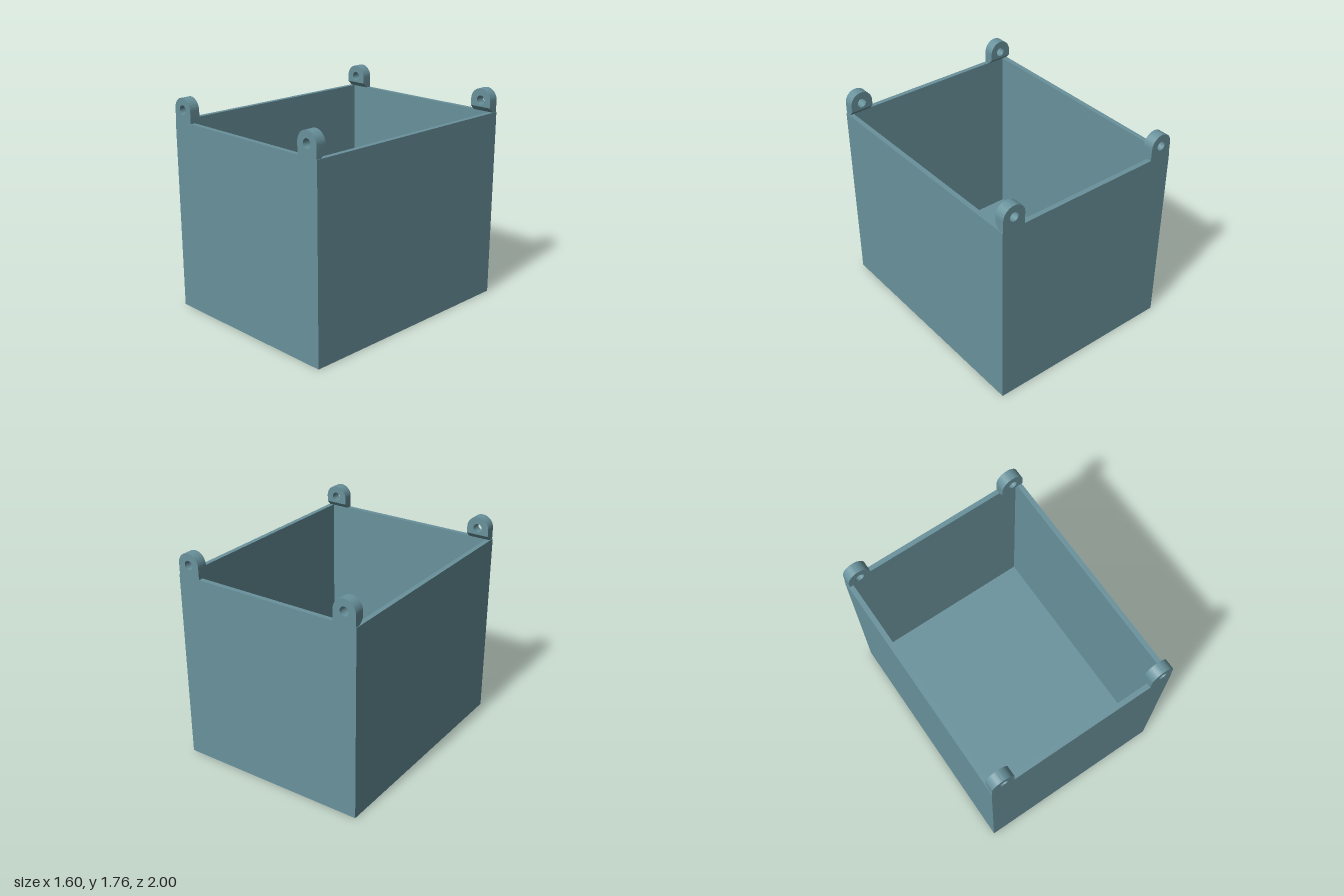
import * as THREE from 'three';
import { toCreasedNormals } from 'three/addons/utils/BufferGeometryUtils.js';

const W = 1.6, D = 2, H = 1.57, WALL = 0.04;
const LUG = { x: 0.7, y: 1.665, r: 0.095, hole: 0.037, depth: 0.085, base: 1.61 };

function rectangle(Type, w, h) {
  return new Type([[-1, -1], [1, -1], [1, 1], [-1, 1]]
    .map(([x, y]) => new THREE.Vector2(x * w / 2, y * h / 2)));
}

function extrude(shape, depth) {
  return new THREE.ExtrudeGeometry(shape, { depth, bevelEnabled: false, curveSegments: 32 });
}

export function createModel() {
  const teal = new THREE.MeshStandardMaterial({ color: 0x69929c });
  teal.name = 'dusty teal';
  const model = new THREE.Group();
  model.name = 'openBox';

  const add = (parent, name, geometry) => {
    const mesh = new THREE.Mesh(geometry, teal);
    mesh.name = name;
    parent.add(mesh);
  };

  // Four walls as one upright frame
  const frame = rectangle(THREE.Shape, W, D);
  frame.holes.push(rectangle(THREE.Path, W - 2 * WALL, D - 2 * WALL));
  add(model, 'walls', extrude(frame, H).rotateX(-Math.PI / 2));

  // Floor inside the frame
  add(model, 'floor', new THREE.BoxGeometry(W - 2 * WALL, WALL, D - 2 * WALL).translate(0, WALL / 2, 0));

  // Rounded lug with a pin hole
  const arch = new THREE.Shape();
  arch.moveTo(-LUG.r, LUG.base);
  arch.lineTo(LUG.r, LUG.base);
  arch.lineTo(LUG.r, LUG.y);
  arch.absarc(0, LUG.y, LUG.r, 0, Math.PI, false);
  arch.closePath();
  arch.holes.push(new THREE.Path().absarc(0, LUG.y, LUG.hole, 0, Math.PI * 2, true));
  const eye = toCreasedNormals(extrude(arch, LUG.depth).translate(0, 0, D / 2 - LUG.depth), 0.6);

  // Foot that slopes from the wall's inner edge out to the full lug depth
  const profile = new THREE.Shape([
    [D / 2, H], [D / 2, LUG.base], [D / 2 - LUG.depth, LUG.base], [D / 2 - WALL - 0.005, H],
  ].map(([z, y]) => new THREE.Vector2(z, y)));
  const foot = extrude(profile, LUG.r * 2).rotateY(-Math.PI / 2).translate(LUG.r, 0, 0);

  // One lug at each corner; the back pair is turned around
  for (const [end, turn] of [['front', 0], ['back', Math.PI]]) {
    const pair = new THREE.Group();
    pair.name = end + 'Lugs';
    pair.rotation.y = turn;
    for (const side of [-1, 1]) {
      const lug = new THREE.Group();
      lug.name = 'lug';
      lug.position.x = side * LUG.x;
      add(lug, 'lugEye', eye);
      add(lug, 'lugFoot', foot);
      pair.add(lug);
    }
    model.add(pair);
  }
  return model;
}
